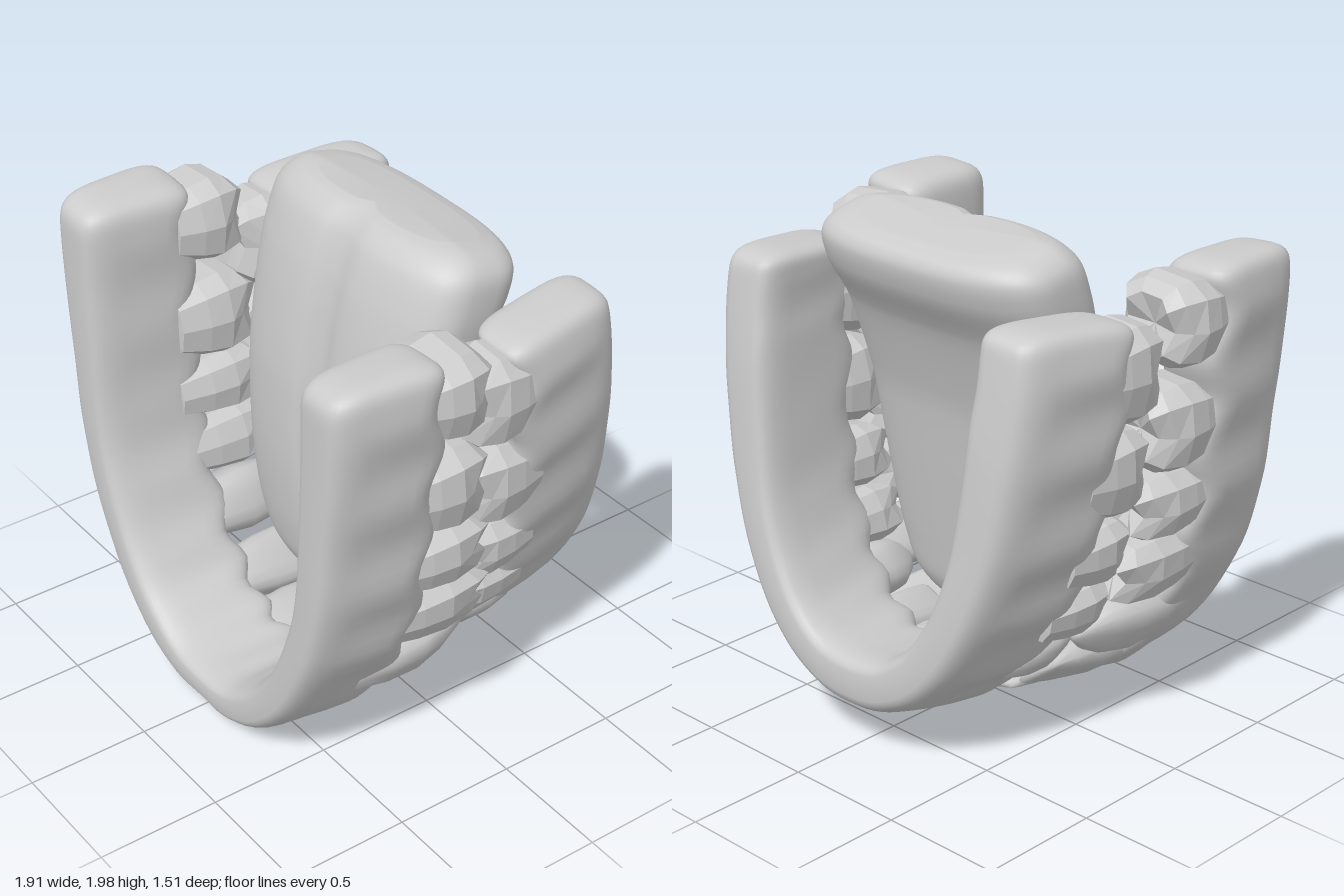
import * as THREE from 'three';

const smoothMat = new THREE.MeshStandardMaterial({ color: 0xcccccc });
const flatMat = new THREE.MeshStandardMaterial({ color: 0xcccccc, flatShading: true });

// Rounded power used for superellipse sections
const spow = (v, p) => Math.sign(v) * Math.pow(Math.abs(v), p);

// Skin closed rings of points, fan both ends to a centre, face outwards
function loft(rings, startPoint, endPoint) {
  const n = rings[0].length, pos = [], idx = [];
  rings.forEach((r) => r.forEach((p) => pos.push(...p)));
  const a = rings.length * n, last = (rings.length - 1) * n;
  pos.push(...startPoint, ...endPoint);
  for (let i = 0; i < rings.length - 1; i++) {
    for (let j = 0; j < n; j++) {
      const k = (j + 1) % n, b = i * n;
      idx.push(b + j, b + k, b + n + k, b + j, b + n + k, b + n + j);
    }
  }
  for (let j = 0; j < n; j++) {
    const k = (j + 1) % n;
    idx.push(a, k, j, a + 1, last + j, last + k);
  }
  // Signed volume tells whether the winding must be reversed
  let vol = 0;
  const v = (i) => new THREE.Vector3(pos[i * 3], pos[i * 3 + 1], pos[i * 3 + 2]);
  for (let i = 0; i < idx.length; i += 3) vol += v(idx[i]).dot(v(idx[i + 1]).cross(v(idx[i + 2])));
  if (vol < 0) idx.reverse();
  const g = new THREE.BufferGeometry();
  g.setAttribute('position', new THREE.Float32BufferAttribute(pos, 3));
  g.setIndex(idx);
  g.computeVertexNormals();
  return g;
}

function mesh(name, geometry, material = smoothMat) {
  const m = new THREE.Mesh(geometry, material);
  m.name = name;
  return m;
}

const curve = (pts) => new THREE.CatmullRomCurve3(pts.map(([x, y, z = 0]) => new THREE.Vector3(x, y, z)));

// U-shaped gum: inner and outer outlines run from the middle to the arch end
function gum(name, { outer, inner, edge, base, shiftOuter, shiftInner, rise }) {
  // Mirrored lists keep the middle of the arch smooth
  const full = (pts) => curve([...pts.slice(1).reverse().map(([x, y]) => [-x, y]), ...pts]);
  const co = full(outer), ci = full(inner), N = 110, M = 32, rings = [];
  const ends = [];
  for (let i = 0; i <= N; i++) {
    const v = Math.sin((i / N - 0.5) * Math.PI), s = Math.abs(v);
    const o = co.getPoint((v + 1) / 2), q = ci.getPoint((v + 1) / 2);
    const dir = o.clone().sub(q).normalize();
    const e = Math.max(0, (s - 0.93) / 0.07);
    const cap = Math.pow(Math.max(0, 1 - e ** 5), 1 / 3.5);
    const wave = Math.cos(s * 7 * Math.PI * 2 - Math.PI);
    const z0 = THREE.MathUtils.lerp(edge[0], edge[1], s) + Math.sign(edge[0]) * 0.025 * wave;
    const z1 = THREE.MathUtils.lerp(base[0], base[1], s * s);
    const ring = [];
    for (let j = 0; j < M; j++) {
      const a = (j / M) * Math.PI * 2;
      const u = 0.5 + 0.5 * cap * spow(Math.cos(a), 0.5);
      const w = 0.5 + 0.5 * cap * spow(Math.sin(a), 0.5);
      const root = 0.014 * wave * Math.sin(Math.PI * Math.min(1, w * 1.2)) * (1 - e);
      const p = q.clone().lerp(o, u)
        .addScaledVector(dir, w * THREE.MathUtils.lerp(shiftInner, shiftOuter, u) + root * (u - 0.3));
      ring.push([p.x, p.y + rise * w * s ** 6, z0 + (z1 - z0) * w]);
    }
    rings.push(ring);
    if (i === 0 || i === N) {
      const m = q.clone().lerp(o, 0.5);
      ends.push([m.x, m.y + rise / 2, (z0 + z1) / 2]);
    }
  }
  return mesh(name, loft(rings, ends[0], ends[1]));
}

// Crown levels: [height, width scale, depth scale]
const crowns = {
  incisor: [[-0.35, 0.7, 0.8], [0, 0.86, 1], [0.3, 1, 0.95], [0.7, 1.03, 0.6], [0.95, 0.98, 0.3], [1, 0.88, 0.2]],
  canine: [[-0.35, 0.7, 0.8], [0, 0.88, 1], [0.35, 1.03, 1], [0.65, 0.95, 0.75], [0.87, 0.6, 0.42], [1, 0.2, 0.18]],
  molar: [[-0.3, 0.74, 0.78], [0.1, 0.93, 0.95], [0.45, 1.03, 1], [0.75, 0.95, 0.85], [0.95, 0.7, 0.58]],
};

// One tooth; its depth axis points out of the arch, its height runs along z
function tooth(name, [x, y, w, d, z0, z1, kind], tangent, side) {
  const n = kind === 'molar' ? 10 : 16, tx = tangent.x, ty = tangent.y, h = z1 - z0;
  const rings = crowns[kind].map(([t, sw, sd], level) => {
    const ring = [];
    for (let j = 0; j < n; j++) {
      const a = ((j + 0.5) / n) * Math.PI * 2;
      const cw = 0.5 * w * sw * spow(Math.cos(a), 0.7), cd = 0.5 * d * sd * spow(Math.sin(a), 0.7);
      const cusp = kind === 'molar' && level > 2 ? 0.09 * Math.cos(4 * a + Math.PI) : 0;
      ring.push([side * (x + tx * cw + ty * cd), y + ty * cw - tx * cd, z0 + h * (t + cusp)]);
    }
    return ring;
  });
  const top = kind === 'molar' ? 0.78 : 1.02;
  const g = loft(rings, [side * x, y, z0 - 0.35 * h], [side * x, y, z0 + h * top]);
  return mesh(name, g, kind === 'molar' ? flatMat : smoothMat);
}

function teeth(name, list) {
  const group = new THREE.Group();
  group.name = name;
  const path = curve([[-list[0][0], list[0][1]], ...list]
    .map(([x, y]) => [x, y]));
  const names = ['centralIncisor', 'lateralIncisor', 'canine', 'firstPremolar', 'secondPremolar', 'firstMolar', 'secondMolar'];
  list.forEach((t, i) => {
    const tangent = path.getTangent((i + 1) / list.length);
    if (i === 0) tangent.set(0.98, 0.17, 0);
    for (const side of [1, -1]) group.add(tooth((side > 0 ? 'left ' : 'right ') + names[i], t, tangent, side));
  });
  return group;
}

// Tongue: stacked sections, thick at the root, thin at the tip, grooved in front
function tongue() {
  const width = curve([[0.2, 0.325], [0.3, 0.345], [0.4, 0.43], [0.465, 0.6], [0.51, 0.9], [0.54, 1.25],
    [0.565, 1.6], [0.58, 1.8], [0.565, 1.92], [0.5, 1.98], [0.4, 2.0]]);
  const depth = curve([[0.09, 0, 0.03], [0.13, 0, 0], [0.17, 0, -0.04], [0.2, 0, -0.07], [0.22, 0, -0.12], [0.21, 0, -0.18],
    [0.16, 0, -0.3], [0.11, 0, -0.41], [0.06, 0, -0.44], [0.0, 0, -0.42], [-0.06, 0, -0.35]]);
  const rings = [], N = 60, M = 72;
  for (let i = 0; i <= N; i++) {
    const t = i / N, p = width.getPoint(t), q = depth.getPoint(t);
    const mid = (q.x + q.z) / 2, half = (q.x - q.z) / 2, ring = [];
    for (let j = 0; j < M; j++) {
      const a = (j / M) * Math.PI * 2, front = Math.max(0, Math.sin(a));
      const x = p.x * spow(Math.cos(a), 0.75);
      const groove = front * (0.03 * Math.exp(-((x / 0.03) ** 2)) + 0.02 * Math.exp(-((x / 0.12) ** 2)));
      const z = mid + half * spow(Math.sin(a), 0.65) - groove * Math.min(1, half * 8);
      const k = Math.max(0, (p.y - 1.5) / 0.5);
      ring.push([x, p.y - 0.07 * k * Math.max(0, (-z - 0.15) / 0.3), z]);
    }
    rings.push(ring);
  }
  return mesh('tongue', loft(rings, [0, 0.32, 0.06], [0, 1.985, -0.2]));
}

export function createModel() {
  const model = new THREE.Group();
  model.name = 'mouth';

  model.add(gum('upperGum', {
    outer: [[0, 0.015], [0.2, 0.02], [0.42, 0.12], [0.62, 0.33], [0.79, 0.65], [0.87, 0.95], [0.91, 1.28], [0.95, 1.6], [0.965, 1.92]],
    inner: [[0, 0.23], [0.15, 0.25], [0.29, 0.34], [0.41, 0.48], [0.52, 0.7], [0.59, 0.95], [0.61, 1.25], [0.62, 1.58], [0.62, 1.9]],
    edge: [0.29, 0.26], base: [0.75, 0.735], shiftOuter: -0.04, shiftInner: 0.035, rise: 0,
  }));

  model.add(gum('lowerGum', {
    outer: [[0, 0.11], [0.2, 0.14], [0.4, 0.25], [0.56, 0.42], [0.69, 0.65], [0.78, 0.9], [0.84, 1.2], [0.88, 1.5], [0.88, 1.78]],
    inner: [[0, 0.36], [0.15, 0.38], [0.28, 0.46], [0.39, 0.6], [0.48, 0.8], [0.53, 1.05], [0.56, 1.4], [0.58, 1.6], [0.58, 1.78]],
    edge: [-0.25, -0.08], base: [-0.76, -0.6], shiftOuter: -0.08, shiftInner: -0.06, rise: 0.05,
  }));

  // x, y, width, depth, gum z, tip z, kind
  model.add(teeth('upperTeeth', [
    [0.14, 0.12, 0.28, 0.17, 0.3, -0.11, 'incisor'],
    [0.38, 0.235, 0.25, 0.18, 0.29, -0.1, 'incisor'],
    [0.57, 0.46, 0.26, 0.24, 0.31, -0.1, 'canine'],
    [0.67, 0.73, 0.26, 0.29, 0.29, -0.07, 'molar'],
    [0.71, 0.99, 0.26, 0.32, 0.29, -0.03, 'molar'],
    [0.73, 1.3, 0.35, 0.36, 0.29, 0.01, 'molar'],
    [0.765, 1.71, 0.34, 0.38, 0.28, 0.04, 'molar'],
  ]));

  model.add(teeth('lowerTeeth', [
    [0.09, 0.24, 0.18, 0.15, -0.27, 0.02, 'incisor'],
    [0.27, 0.29, 0.19, 0.15, -0.27, 0.02, 'incisor'],
    [0.44, 0.43, 0.22, 0.22, -0.27, 0.02, 'canine'],
    [0.56, 0.62, 0.23, 0.26, -0.24, 0.04, 'molar'],
    [0.64, 0.86, 0.25, 0.28, -0.22, 0.04, 'molar'],
    [0.69, 1.18, 0.35, 0.31, -0.2, 0.06, 'molar'],
    [0.72, 1.56, 0.38, 0.32, -0.17, 0.09, 'molar'],
  ]));

  model.add(tongue());
  return model;
}
